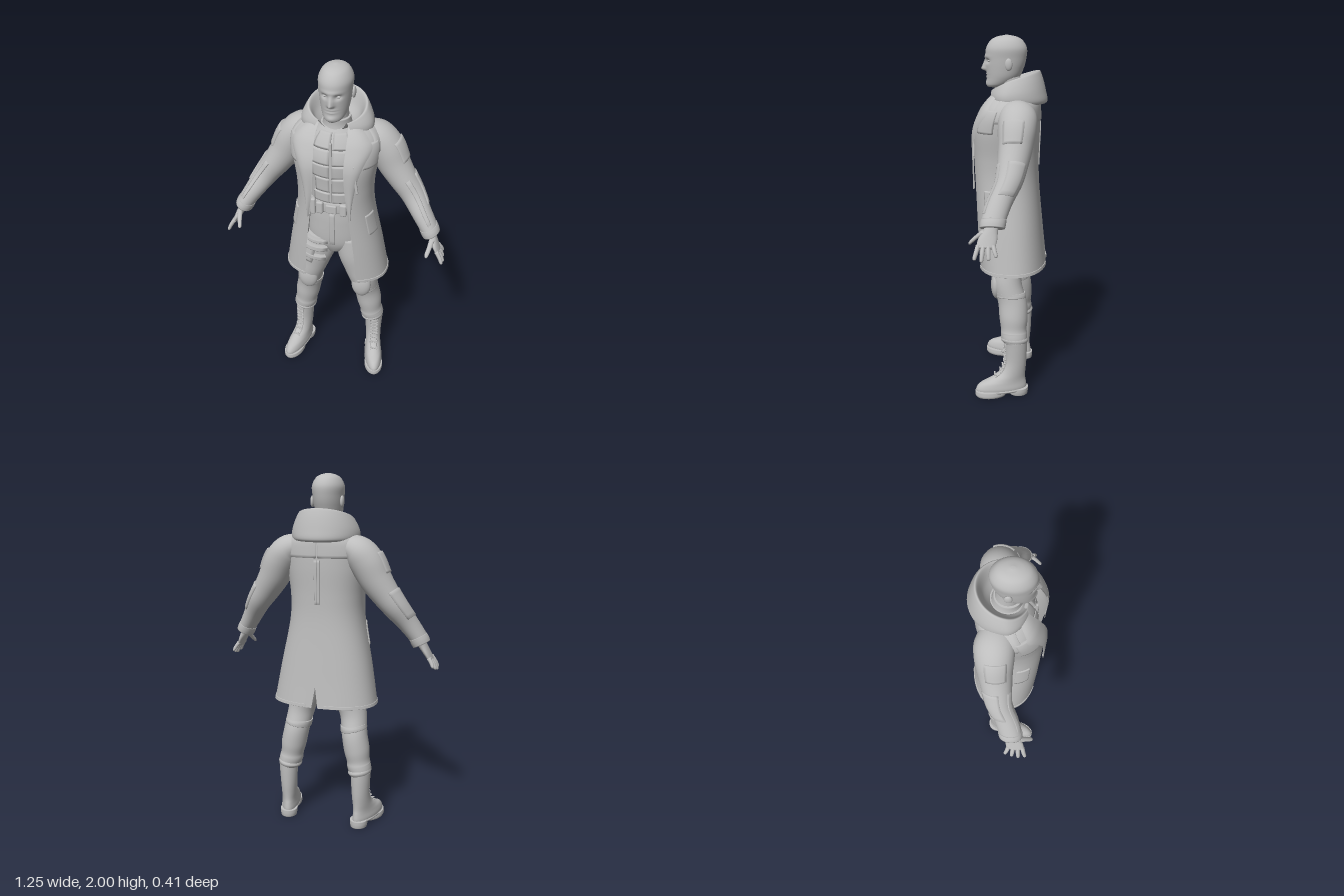
import * as THREE from 'three';
import { RoundedBoxGeometry } from 'three/addons/geometries/RoundedBoxGeometry.js';

const grey = new THREE.MeshStandardMaterial({ color: 0xbdbdbd, side: THREE.DoubleSide });
grey.name = 'plain grey';

// Smooth (Catmull-Rom) interpolation through rows of numbers; v is a row index
function spline(rows, v) {
  const n = rows.length - 1, i = Math.min(n - 1, Math.max(0, Math.floor(v))), t = v - i;
  const r = k => rows[Math.min(n, Math.max(0, k))];
  return rows[i].map((b, c) => {
    const a = r(i - 1)[c], d = r(i + 1)[c], e = r(i + 2)[c];
    return b + 0.5 * t * (d - a + t * (2 * a - 5 * b + 4 * d - e + t * (3 * (b - d) + e - a)));
  });
}

// Row index at which column `col` (ascending) reaches a value
function rowAt(rows, y, col) {
  for (let i = 0; i < rows.length - 1; i++) {
    if (y <= rows[i + 1][col]) return Math.max(0, i + (y - rows[i][col]) / (rows[i + 1][col] - rows[i][col]));
  }
  return rows.length - 1;
}

// Grid surface from fn(i, j) -> [x, y, z]
function grid(nu, nv, fn, closed = false) {
  const pos = [], idx = [], w = closed ? nu : nu + 1;
  for (let j = 0; j <= nv; j++) for (let i = 0; i < w; i++) pos.push(...fn(i, j));
  for (let j = 0; j < nv; j++) for (let i = 0; i < nu; i++) {
    const a = j * w + i, b = j * w + (i + 1) % w;
    idx.push(a, b, b + w, a, b + w, a + w);
  }
  const g = new THREE.BufferGeometry();
  g.setAttribute('position', new THREE.Float32BufferAttribute(pos, 3));
  g.setIndex(idx);
  g.computeVertexNormals();
  return g;
}

// Point on a limb with rows [x, y, z, side radius, depth radius]; u = 0 is the front
function limbPoint(rows, u, v, off = 0, k = 1) {
  const [x, y, z, rx, rz] = spline(rows, v), n = rows.length - 1;
  const p = spline(rows, Math.max(0, v - 0.1)), q = spline(rows, Math.min(n, v + 0.1));
  const l = Math.hypot(q[0] - p[0], q[1] - p[1]) || 1, t = u * Math.PI * 2;
  const s = Math.sin(t) * (rx + off) * k;
  return [x + s * (q[1] - p[1]) / l, y - s * (q[0] - p[0]) / l, z + Math.cos(t) * (rz + off) * k];
}

// Closed limb with capped ends
function limb(rows, nu = 24, steps = 4) {
  const nv = (rows.length - 1) * steps;
  return grid(nu, nv + 2, (i, j) => limbPoint(rows, i / nu,
    Math.min(nv, Math.max(0, j - 1)) / steps, 0, j === 0 || j === nv + 2 ? 0.001 : 1), true);
}

// Raised panel on any surface fn(u, v, offset), its border sinking into the surface
function pad(fn, u0, u1, v0, v1, off = 0.01, n = 8) {
  const m = n + 2;
  const f = i => i === 0 ? 0 : i === m ? 1 : 0.01 + 0.98 * (i - 1) / n;
  return grid(m, m, (i, j) => fn(u0 + (u1 - u0) * f(i), v0 + (v1 - v0) * f(j),
    i === 0 || j === 0 || i === m || j === m ? -0.004 : off));
}
const limbPad = (rows, u0, u1, y0, y1, off) =>
  pad((u, v, o) => limbPoint(rows, u, v, o), u0, u1, rowAt(rows, y0, 1), rowAt(rows, y1, 1), off);

const box = (w, h, d, x, y, z, rz = 0) => new RoundedBoxGeometry(w, h, d, 2, Math.min(w, h, d) * 0.3).rotateZ(rz).translate(x, y, z);
const ball = (sx, sy, sz, x, y, z) => new THREE.SphereGeometry(1, 24, 16).scale(sx, sy, sz).translate(x, y, z);

function mirrored(geo) {
  const g = geo.clone().scale(-1, 1, 1);
  const a = g.index ? Array.from(g.index.array) : Array.from({ length: g.attributes.position.count }, (_, i) => i);
  for (let i = 0; i < a.length; i += 3) [a[i], a[i + 1]] = [a[i + 1], a[i]];
  g.setIndex(a);
  return g;
}

// Body rows: x, y, z, side radius, depth radius
const torso = [[0, 0.87, 0, 0.07, 0.08], [0, 0.95, 0, 0.165, 0.115], [0, 1.1, 0, 0.165, 0.125], [0, 1.2, 0, 0.155, 0.125],
  [0, 1.35, 0, 0.16, 0.135], [0, 1.5, 0, 0.17, 0.145], [0, 1.6, -0.01, 0.15, 0.125], [0, 1.67, -0.01, 0.09, 0.085]];
const neck = [[0, 1.62, -0.01, 0.08, 0.078], [0, 1.7, 0, 0.062, 0.064], [0, 1.79, 0.02, 0.06, 0.066]];
const skull = [[0, 1.727, 0.09, 0.028, 0.036], [0, 1.74, 0.07, 0.052, 0.064], [0, 1.78, 0.045, 0.07, 0.088], [0, 1.83, 0.035, 0.079, 0.102],
  [0, 1.88, 0.03, 0.084, 0.11], [0, 1.93, 0.027, 0.087, 0.11], [0, 1.97, 0.026, 0.07, 0.088], [0, 1.99, 0.025, 0.045, 0.056], [0, 2, 0.025, 0.008, 0.01]];
const arm = [[0.535, 1.095, 0.048, 0.047, 0.06], [0.52, 1.125, 0.045, 0.048, 0.062], [0.47, 1.2, 0.02, 0.055, 0.065],
  [0.41, 1.285, -0.02, 0.066, 0.07], [0.35, 1.365, -0.035, 0.077, 0.08], [0.296, 1.445, -0.045, 0.088, 0.09],
  [0.25, 1.53, -0.05, 0.095, 0.1], [0.2, 1.59, -0.05, 0.085, 0.1], [0.13, 1.62, -0.04, 0.06, 0.08]];
const leg = [[0.222, 0.31, -0.042, 0.055, 0.06], [0.22, 0.34, -0.035, 0.064, 0.072], [0.21, 0.37, -0.032, 0.068, 0.075], [0.205, 0.4, -0.03, 0.066, 0.073],
  [0.195, 0.46, -0.028, 0.073, 0.08], [0.178, 0.55, -0.02, 0.073, 0.082], [0.16, 0.66, 0.012, 0.077, 0.083],
  [0.13, 0.76, 0.015, 0.085, 0.09], [0.108, 0.86, 0.012, 0.1, 0.102], [0.09, 0.98, 0, 0.09, 0.11]];
const boot = [[0, 0.025, 0.04, 0.05, 0.145], [0, 0.05, 0.04, 0.054, 0.146], [0, 0.08, 0.03, 0.05, 0.132], [0, 0.105, 0.004, 0.047, 0.102],
  [0, 0.14, -0.025, 0.046, 0.074], [0, 0.2, -0.042, 0.048, 0.062], [0, 0.28, -0.045, 0.053, 0.062], [0, 0.335, -0.043, 0.056, 0.064]];

// Half of the coat: rows y, half width, front z, back z, half opening
const coat = [[0.735, 0.3, 0.178, -0.2, 0.15], [0.95, 0.262, 0.192, -0.178, 0.135], [1.2, 0.213, 0.203, -0.155, 0.105], [1.35, 0.208, 0.207, -0.152, 0.088],
  [1.5, 0.228, 0.205, -0.157, 0.08], [1.6, 0.232, 0.172, -0.155, 0.083], [1.66, 0.195, 0.135, -0.145, 0.083], [1.7, 0.12, 0.1, -0.11, 0.075]];
function coatPoint(u, v, off = 0) {
  const [y, w, zf, zb, open] = spline(coat, v), e = 0.85;
  const t0 = Math.asin(Math.min(1, open / w) ** (1 / e)), t = t0 + (Math.PI - t0) * u;
  const c = Math.cos(t), vent = u > 0.8 ? (u - 0.8) / 0.2 * 0.018 * Math.max(0, (0.85 - y) / 0.115) : 0;
  return [(w + off) * Math.max(0, Math.sin(t)) ** e + vent, y,
    (zf + zb) / 2 + ((zf - zb) / 2 + off) * Math.sign(c) * Math.abs(c) ** e];
}
const coatPad = (u0, u1, y0, y1, off = 0.006) => pad(coatPoint, u0, u1, rowAt(coat, y0, 0), rowAt(coat, y1, 0), off, 14);

export function createModel() {
  const model = new THREE.Group();
  model.name = 'manInHoodedCoat';
  const add = (name, geo) => {
    const m = new THREE.Mesh(geo, grey);
    m.name = name;
    model.add(m);
  };
  const pair = (name, geo) => { add(name + 'Left', geo); add(name + 'Right', mirrored(geo)); };

  // Head with nose, eye sockets, brow, lips
  const head = limb(skull, 64, 9), p = head.attributes.position;
  const bump = (a, c, s) => Math.exp(-(((a - c) / s) ** 2));
  for (let i = 0; i < p.count; i++) {
    const x = p.getX(i), y = p.getY(i), z = p.getZ(i);
    if (z < 0.05) continue;
    const ridge = y > 1.822 ? Math.max(0, 1 - (y - 1.822) / 0.06) : Math.max(0, 1 - (1.822 - y) / 0.012);
    p.setZ(i, z + 0.03 * ridge * bump(x, 0, 0.014) - 0.014 * bump(Math.abs(x), 0.034, 0.017) * bump(y, 1.866, 0.012)
      + 0.005 * bump(y, 1.888, 0.01) * bump(x, 0, 0.05) + 0.006 * bump(y, 1.79, 0.012) * bump(x, 0, 0.025)
      - 0.008 * bump(y, 1.79, 0.003) * bump(x, 0, 0.026) + 0.006 * bump(y, 1.75, 0.014) * bump(x, 0, 0.025));
  }
  head.computeVertexNormals();
  add('head', head);
  add('neck', limb(neck));
  pair('ear', ball(0.011, 0.032, 0.02, 0.086, 1.85, 0.008));
  pair('eye', ball(0.012, 0.006, 0.007, 0.034, 1.866, 0.118));

  // Torso, vest panels and high collar
  add('torso', limb(torso, 40, 6));
  add('vestCollar', limb([[0, 1.64, -0.002, 0.085, 0.085], [0, 1.68, 0, 0.074, 0.076], [0, 1.715, 0.005, 0.07, 0.072]], 32));
  for (const [u, y0, y1] of [[0.1, 1.57, 1.645], [0.105, 1.49, 1.565], [0.1, 1.41, 1.485], [0.085, 1.32, 1.405], [0.1, 1.255, 1.312]]) {
    pair('vestPanel', limbPad(torso, 0.006, u, y0, y1, 0.012));
  }
  add('vestZip', box(0.014, 0.36, 0.012, 0, 1.44, 0.145));

  // Belt, buckle, pouches, fly
  add('belt', limb([[0, 1.18, 0, 0.168, 0.136], [0, 1.21, 0, 0.168, 0.138], [0, 1.24, 0, 0.168, 0.137]], 40));
  add('buckle', box(0.06, 0.05, 0.02, 0, 1.21, 0.138));
  pair('beltPouch', box(0.04, 0.075, 0.035, 0.065, 1.21, 0.128));
  pair('sidePouch', box(0.03, 0.1, 0.035, 0.108, 1.2, 0.11));
  add('fly', limbPad(torso, -0.015, 0.015, 0.95, 1.17, 0.006));

  // Trouser legs, knee pads, thigh pockets, bloused cuffs
  pair('trouserLeg', limb(leg, 32, 6));
  pair('kneePad', ball(0.058, 0.085, 0.034, 0.162, 0.645, 0.068));
  pair('kneeStrap', limb([[0.172, 0.575, -0.012, 0.077, 0.086], [0.169, 0.59, -0.01, 0.077, 0.087], [0.167, 0.605, -0.005, 0.077, 0.086]]));
  pair('trouserCuff', limb([[0.22, 0.318, -0.04, 0.06, 0.066], [0.217, 0.335, -0.036, 0.069, 0.078], [0.213, 0.352, -0.035, 0.062, 0.07]]));
  add('leftThighPocket', limbPad(leg, 0.04, 0.22, 0.8, 0.95, 0.016));
  add('leftPocketFlap', limbPad(leg, 0.035, 0.225, 0.91, 0.96, 0.022));
  add('rightThighPouch', mirrored(limbPad(leg, 0.0, 0.2, 0.8, 0.92, 0.02)));
  for (const y of [0.84, 0.9, 0.95]) add('thighStrap', mirrored(limbPad(leg, -0.1, 0.24, y, y + 0.022, 0.027)));
  add('holster', box(0.035, 0.15, 0.05, -0.15, 1.08, 0.12, -0.1));

  // Boots: upper, soles, laces, turned outwards
  const place = g => g.translate(0, 0, 0.045).rotateY(0.25).translate(0.225, 0, -0.045);
  pair('bootUpper', place(limb(boot, 32, 5)));
  pair('bootSole', place(limb([[0, 0, 0.1, 0.052, 0.085], [0, 0.012, 0.1, 0.057, 0.091], [0, 0.036, 0.1, 0.055, 0.09]], 28)));
  pair('bootHeel', place(limb([[0, 0, -0.06, 0.046, 0.052], [0, 0.02, -0.06, 0.05, 0.055], [0, 0.042, -0.06, 0.05, 0.055]], 28)));
  pair('bootWelt', place(limb([[0, 0.026, 0.038, 0.052, 0.147], [0, 0.034, 0.038, 0.056, 0.151], [0, 0.042, 0.038, 0.052, 0.147]], 32)));
  pair('bootTongue', place(limbPad(boot, -0.07, 0.07, 0.12, 0.32, 0.005)));
  for (let i = 0; i < 7; i++) {
    const y = 0.125 + i * 0.027, r = spline(boot, rowAt(boot, y, 1));
    for (const a of [-0.35, 0.35]) pair('lace', place(box(0.05, 0.007, 0.008, 0, y, r[2] + r[4] + 0.004, a)));
  }

  // Coat body, yoke, lapels, pockets
  pair('coatHalf', grid(48, 56, (i, j) => coatPoint(i / 48, j / 8)));
  pair('coatYoke', coatPad(0.3, 1, 1.55, 1.69, 0.007));
  pair('chestFlap', coatPad(0.16, 0.36, 1.5, 1.62, 0.009));
  pair('waistPocket', coatPad(0.2, 0.36, 1.06, 1.19));
  pair('coatHemBand', coatPad(0, 0.97, 0.737, 0.765, 0.004));
  pair('backPleat', coatPad(0.985, 1, 1.3, 1.54, 0.005));
  const lapel = [[1.18, 0.01], [1.35, 0.08], [1.5, 0.15], [1.6, 0.24], [1.64, 0.22], [1.69, 0.2]];
  pair('lapel', grid(10, 30, (i, j) => {
    const [y, w] = spline(lapel, j / 6), f = i / 10;
    return coatPoint(w * f, rowAt(coat, y, 0), 0.005 + 0.012 * Math.sin(Math.PI * f * 0.8));
  }));
  add('chestZipLeft', box(0.014, 0.16, 0.012, 0.14, 1.45, 0.19, 0.15));

  // Lowered hood: rows side radius, back z, front z, back y, front y
  const hood = [[0.085, 0.085, 0.09, 1.68, 1.67], [0.115, 0.115, 0.1, 1.73, 1.685], [0.145, 0.145, 0.112, 1.815, 1.705], [0.165, 0.165, 0.116, 1.79, 1.7],
    [0.188, 0.187, 0.118, 1.71, 1.685], [0.186, 0.193, 0.115, 1.65, 1.665], [0.15, 0.14, 0.1, 1.64, 1.65]];
  add('hood', grid(56, 36, (i, j) => {
    const [rx, zb, zf, yb, yf] = spline(hood, j / 6);
    const a = (i / 56 - 0.5) * Math.PI * 1.68, c = Math.cos(a), b = ((1 + c) / 2) ** 0.8;
    return [Math.sin(a) * rx, yf + (yb - yf) * b, -c * (c > 0 ? zb : zf)];
  }));

  // Sleeves with cuffs, patches and seams
  pair('sleeve', limb(arm, 32, 6));
  pair('sleeveCuff', limb([[0.537, 1.09, 0.049, 0.05, 0.063], [0.527, 1.11, 0.047, 0.052, 0.065], [0.517, 1.13, 0.044, 0.05, 0.064]], 28));
  pair('sleevePatch', limbPad(arm, 0.14, 0.32, 1.44, 1.54, 0.007));
  pair('elbowPatch', limbPad(arm, 0.22, 0.42, 1.22, 1.36, 0.006));
  pair('forearmStrip', limbPad(arm, 0.06, 0.12, 1.15, 1.36, 0.005));

  // Hands
  pair('palm', limb([[0.586, 1.0, 0.078, 0.013, 0.046], [0.565, 1.04, 0.07, 0.018, 0.048], [0.543, 1.08, 0.057, 0.024, 0.037], [0.525, 1.115, 0.048, 0.027, 0.036]]));
  [0.022, 0.008, 0, 0.008].forEach((s, k) => {
    const z = 0.04 + 0.025 * k, tip = 0.025 + 0.035 * k;
    pair('finger', limb([[0.622 - s * 0.5, 0.942 + s, tip, 0.005, 0.006], [0.617 - s * 0.5, 0.95 + s, tip, 0.009, 0.01],
      [0.603 - s * 0.3, 0.98 + s * 0.5, (z + tip) / 2, 0.011, 0.0115], [0.58, 1.015, z, 0.012, 0.012]], 12));
  });
  pair('thumb', limb([[0.532, 1.003, 0.163, 0.006, 0.006], [0.533, 1.015, 0.157, 0.011, 0.011], [0.542, 1.045, 0.128, 0.013, 0.014], [0.55, 1.08, 0.085, 0.015, 0.02]], 14));
  return model;
}
